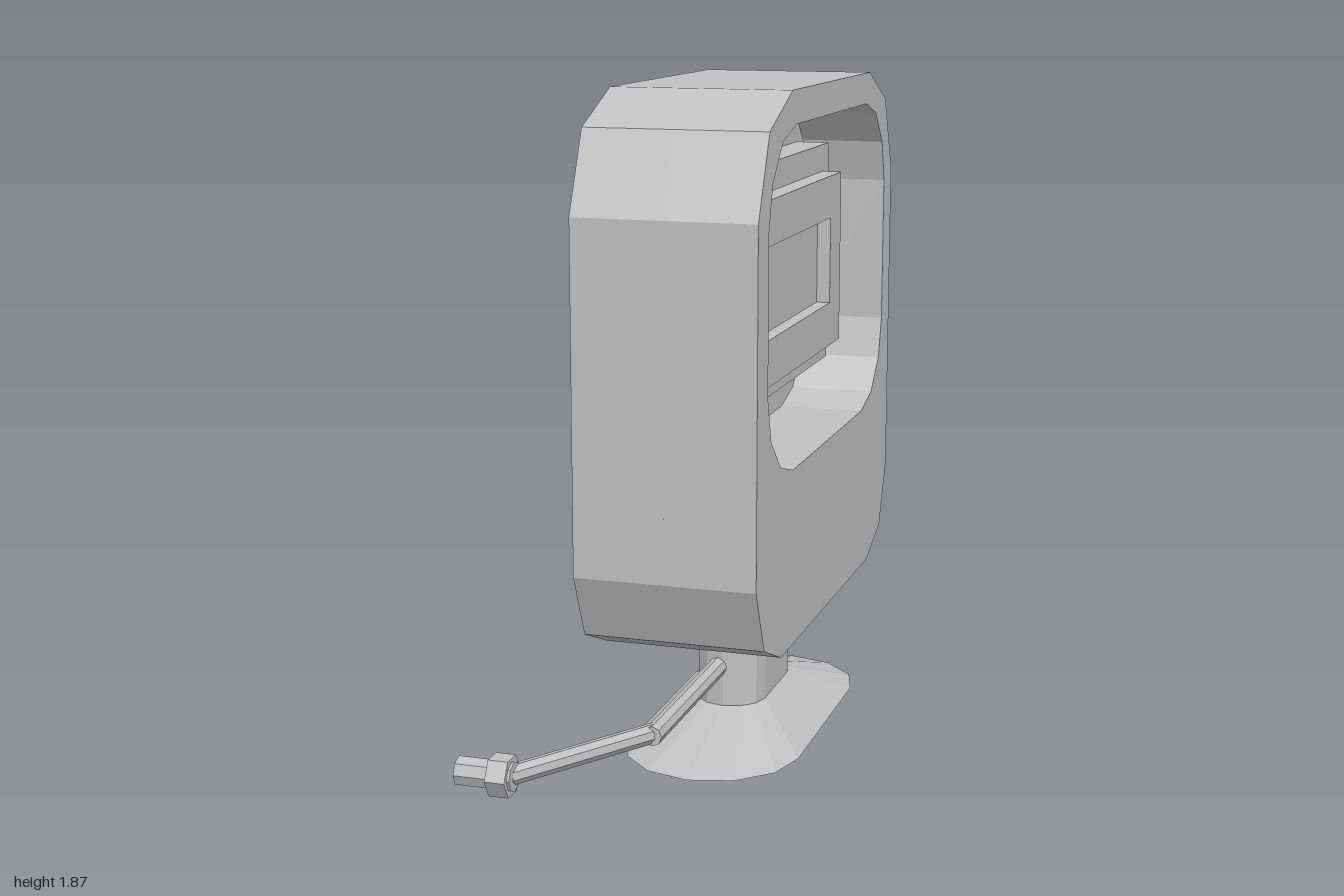
import * as THREE from 'three';

const grey = new THREE.MeshStandardMaterial({ color: 0xc0c0c0 });
grey.name = 'light grey';
grey.flatShading = true;

const MID = 0.24; // the housing is centred on z = -MID

function add(group, name, geometry) {
  const mesh = new THREE.Mesh(geometry, grey);
  mesh.name = name;
  group.add(mesh);
  return mesh;
}

// Side outlines run along u (= -z, measured from the housing centre) and y.
const toPoints = list => list.map(([u, y]) => new THREE.Vector2(u + MID, y));
// Mirror one half of an outline, listed from bottom to top on the +u side
const mirrored = half => toPoints([...half, ...half.slice().reverse().map(([u, y]) => [-u, y])]);
const rect = (w, y0, y1) => mirrored([[w, y0], [w, y1]]);

// Slab between x0 and x1 with an optional hole
function slab(outline, x0, x1, hole) {
  const shape = new THREE.Shape(outline);
  if (hole) shape.holes.push(new THREE.Path(hole));
  const g = new THREE.ExtrudeGeometry(shape, { depth: x1 - x0, bevelEnabled: false });
  return g.rotateY(Math.PI / 2).translate(x0, 0, 0);
}

// Stadium cross-section, scaled about the pedestal axis
function stadium(scale, y) {
  const ring = [];
  for (const end of [1, -1]) {
    for (let i = 0; i <= 6; i++) {
      const a = (i / 6) * Math.PI;
      ring.push(new THREE.Vector3(
        0.07 + scale * 0.1 * Math.cos(a) * end, y,
        -MID + scale * end * (0.125 + 0.1 * Math.sin(a))));
    }
  }
  return ring;
}

// Closed solid joining a lower and an upper ring
function loft(low, high) {
  const pos = [], n = low.length;
  const tri = (...pts) => pts.forEach(p => pos.push(p.x, p.y, p.z));
  for (let i = 0; i < n; i++) {
    const j = (i + 1) % n;
    tri(low[i], high[j], low[j]);
    tri(low[i], high[i], high[j]);
    if (i > 0 && i < n - 1) {
      tri(low[0], low[i], low[i + 1]);
      tri(high[0], high[i + 1], high[i]);
    }
  }
  const g = new THREE.BufferGeometry();
  g.setAttribute('position', new THREE.Float32BufferAttribute(pos, 3));
  g.computeVertexNormals();
  return g;
}

// Straight rod between two points
function rod(group, name, a, b, radius, sides) {
  const from = new THREE.Vector3(...a), to = new THREE.Vector3(...b);
  const dir = to.clone().sub(from);
  const mesh = add(group, name, new THREE.CylinderGeometry(radius, radius, dir.length(), sides));
  mesh.position.copy(from).add(to).multiplyScalar(0.5);
  mesh.quaternion.setFromUnitVectors(new THREE.Vector3(0, 1, 0), dir.normalize());
  return mesh;
}

export function createModel() {
  const model = new THREE.Group();
  model.name = 'pedestalUnit';

  // Chamfered housing: solid back and a rim around the recess
  const outline = mirrored([[0.51, 0.36], [0.68, 0.43], [0.76, 0.61],
    [0.76, 1.56], [0.66, 1.78], [0.44, 1.87]]);
  const recess = mirrored([[0.40, 0.855], [0.53, 0.89], [0.625, 0.98], [0.66, 1.10],
    [0.66, 1.53], [0.625, 1.65], [0.53, 1.745], [0.40, 1.78]]);
  const housing = new THREE.Group();
  housing.name = 'housing';
  model.add(housing);
  add(housing, 'housingBack', slab(outline, -0.18, 0.07));
  add(housing, 'housingRim', slab(outline, 0.07, 0.32, recess));

  // Stepped panel inside the recess with a sunken window
  const panel = new THREE.Group();
  panel.name = 'panel';
  model.add(panel);
  add(panel, 'panelPlate', slab(rect(0.555, 0.99, 1.65), 0.07, 0.17));
  add(panel, 'panelFrame', slab(rect(0.48, 1.06, 1.57), 0.17, 0.228, rect(0.355, 1.19, 1.445)));
  add(panel, 'panelWindow', slab(rect(0.355, 1.19, 1.445), 0.17, 0.188));

  // Flared foot and neck
  add(model, 'foot', loft(stadium(2.5, 0), stadium(1, 0.1)));
  add(model, 'neck', loft(stadium(1, 0.1), stadium(1, 0.36)));

  // Bent arm with a nut and a nozzle
  const arm = new THREE.Group();
  arm.name = 'arm';
  model.add(arm);
  rod(arm, 'armInner', [0.055, 0.215, -0.06], [0.055, 0.215, 0.575], 0.027, 8);
  rod(arm, 'armOuter', [0.055, 0.215, 0.54], [-0.20, 0.215, 0.945], 0.027, 8);
  rod(arm, 'nut', [-0.24, 0.215, 0.945], [-0.187, 0.215, 0.945], 0.055, 6);
  rod(arm, 'nozzle', [-0.33, 0.215, 0.945], [-0.18, 0.215, 0.945], 0.039, 8);
  return model;
}
